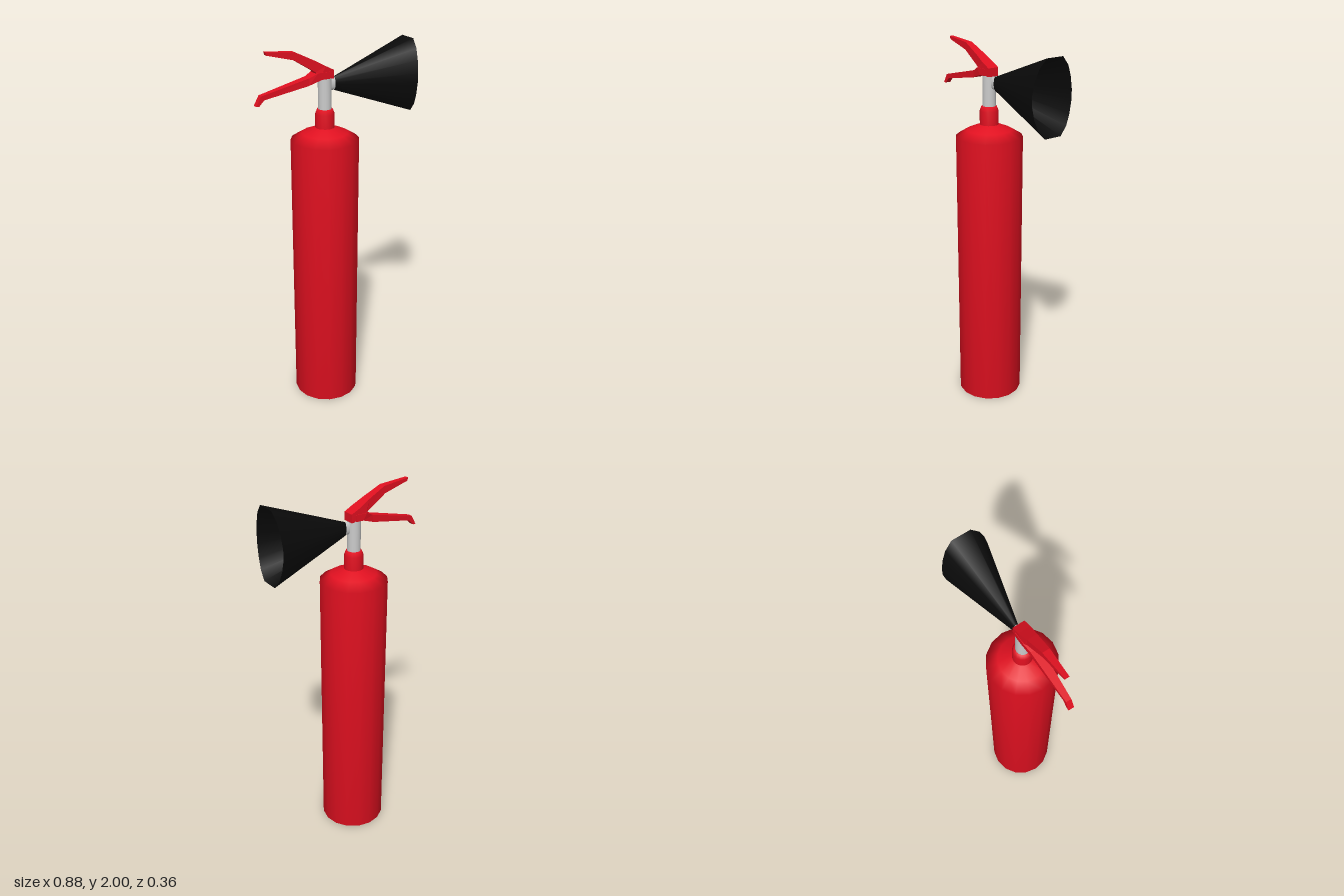
import * as THREE from 'three';

const AXIS_X = -0.06;
const material = (color, flat = false) => new THREE.MeshStandardMaterial({ color, flatShading: flat, side: THREE.DoubleSide });

function addMesh(parent, name, geometry, mat) {
  const mesh = new THREE.Mesh(geometry, mat);
  mesh.name = name;
  parent.add(mesh);
  return mesh;
}

// Skin a series of equal-length rings of [x, y, z] points
function loft(rings, capped) {
  const n = rings[0].length, index = [];
  for (let r = 0; r < rings.length - 1; r++) {
    for (let i = 0; i < n; i++) {
      const a = r * n + i, b = r * n + (i + 1) % n;
      index.push(a, b, a + n, b, b + n, a + n);
    }
  }
  if (capped) {
    const last = (rings.length - 1) * n;
    for (let i = 1; i < n - 1; i++) {
      index.push(0, i + 1, i, last, last + i, last + i + 1);
    }
  }
  const geometry = new THREE.BufferGeometry();
  geometry.setAttribute('position', new THREE.Float32BufferAttribute(rings.flat(2), 3));
  geometry.setIndex(index);
  geometry.computeVertexNormals();
  return geometry;
}

// Tapered bar; each section is [top x, top y, bottom x, bottom y, half width]
function lever(sections) {
  return loft(sections.map(([tx, ty, bx, by, w]) =>
    [[tx, ty, w], [tx, ty, -w], [bx, by, -w], [bx, by, w]]), true);
}

function lathe(points) {
  return new THREE.LatheGeometry(points.map(([r, y]) => new THREE.Vector2(r, y)), 16);
}

export function createModel() {
  const group = new THREE.Group();
  group.name = 'fireExtinguisher';
  const red = material(0xe01020);
  const redFlat = material(0xe01020, true);
  const grey = material(0xcccccc);
  const black = material(0x0a0a0a);

  // Cylinder with sloping shoulder, and its collar
  addMesh(group, 'tank', lathe([[0, 0], [0.178, 0], [0.178, 1.52], [0.12, 1.555], [0.05, 1.583]]), red).position.x = AXIS_X;
  addMesh(group, 'collar', lathe([[0.05, 1.575], [0.05, 1.655], [0.04, 1.68], [0, 1.68]]), red).position.x = AXIS_X;

  // Valve stem and side outlet
  const stem = addMesh(group, 'valveStem', new THREE.CylinderGeometry(0.035, 0.035, 0.17, 16), grey);
  stem.position.set(AXIS_X, 1.755, 0);
  const outlet = addMesh(group, 'outlet', new THREE.CylinderGeometry(0.033, 0.033, 0.045, 12), grey);
  outlet.rotation.z = Math.PI / 2;
  outlet.scale.z = 0.42;
  outlet.position.set(-0.02, 1.803, 0);

  // Squeeze lever
  addMesh(group, 'upperLever', lever([
    [-0.025, 1.88, -0.025, 1.836, 0.031],
    [-0.07, 1.903, -0.11, 1.842, 0.032],
    [-0.13, 1.936, -0.125, 1.878, 0.026],
    [-0.23, 1.985, -0.236, 1.947, 0.019],
    [-0.385, 2.0, -0.38, 1.984, 0.011],
  ]), redFlat);

  // Carrying handle
  addMesh(group, 'lowerHandle', lever([
    [-0.05, 1.873, -0.05, 1.838, 0.035],
    [-0.115, 1.873, -0.093, 1.838, 0.035],
    [-0.157, 1.852, -0.162, 1.814, 0.025],
    [-0.417, 1.793, -0.4, 1.772, 0.014],
    [-0.443, 1.745, -0.427, 1.745, 0.015],
  ]), redFlat);

  // Flattened discharge horn, open at the wide end
  const quarter = [[0.125, 0.025], [0.112, 0.09], [0.09, 0.145], [0.05, 0.19]];
  const back = [...quarter].reverse();
  const outline = [
    ...quarter,
    ...back.map(([z, y]) => [-z, y]),
    ...quarter.map(([z, y]) => [-z, -y]),
    ...back.map(([z, y]) => [z, -y]),
  ];
  const ring = (x, sz, sy, bow) => outline.map(([z, y]) => [x - bow * (z / 0.125) ** 2, 1.803 + y * sy, z * sz]);
  addMesh(group, 'horn', loft([
    ring(-0.005, 0.11, 0.18, 0),
    ring(0.435, 1, 1, 0.015),
  ], false), black);
  addMesh(group, 'hornThroat', loft([
    ring(-0.005, 0.11, 0.18, 0),
    ring(-0.004, 0.01, 0.01, 0),
  ], true), black);

  return group;
}
